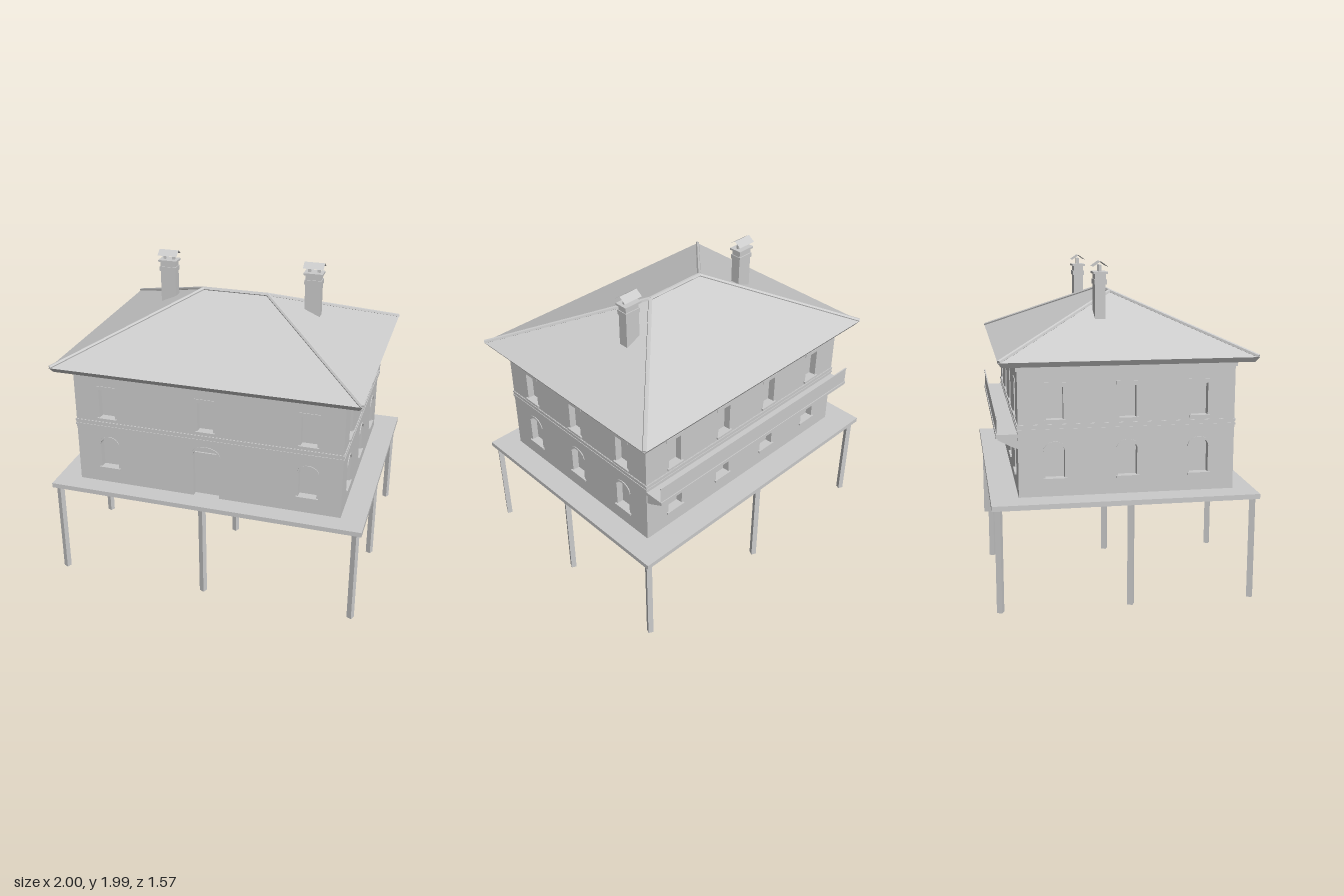
import * as THREE from 'three';

const MAT = new THREE.MeshStandardMaterial({ color: 0xcccccc, flatShading: true });
const SHEET = new THREE.MeshStandardMaterial({ color: 0xcccccc, flatShading: true, side: THREE.DoubleSide });
const CZ = 0.02;             // the house sits slightly forward on its platform
const HX = 0.85, HZ = 0.64;  // half sizes of the house
const RECESS = 0.045;        // wall thickness in front of the panes

function add(parent, name, geometry, x = 0, y = 0, z = 0, material = MAT) {
  const mesh = new THREE.Mesh(geometry, material);
  mesh.name = name;
  mesh.position.set(x, y, z);
  parent.add(mesh);
  return mesh;
}

// Box given by its bottom and top heights
function slab(parent, name, w, y0, y1, d, x = 0, z = 0) {
  return add(parent, name, new THREE.BoxGeometry(w, y1 - y0, d), x, (y0 + y1) / 2, z);
}

// Round bar between two points
function bar(parent, name, a, b, r) {
  const mesh = add(parent, name, new THREE.CylinderGeometry(r, r, a.distanceTo(b), 6));
  mesh.position.copy(a).lerp(b, 0.5);
  mesh.quaternion.setFromUnitVectors(new THREE.Vector3(0, 1, 0), b.clone().sub(a).normalize());
}

// Opening outline: rectangle topped by a flat arch (rise 0 = square head)
function openingPath({ x, w, y0, y1, rise }) {
  const p = new THREE.Path(), s = y1 - rise;
  p.moveTo(x - w / 2, y0);
  p.lineTo(x + w / 2, y0);
  p.lineTo(x + w / 2, s);
  if (rise) p.absellipse(x, s, w / 2, rise, 0, Math.PI, false);
  else p.lineTo(x - w / 2, s);
  p.lineTo(x - w / 2, y0);
  return p;
}

// Thin moulding following the arch of an opening
function archTrim(parent, { x, w, y1, rise }) {
  const s = y1 - rise, band = 0.012;
  const shape = new THREE.Shape();
  shape.moveTo(x + w / 2 + band, s);
  shape.absellipse(x, s, w / 2 + band, rise + band, 0, Math.PI, false);
  shape.lineTo(x - w / 2, s);
  shape.absellipse(x, s, w / 2, rise, Math.PI, 0, true);
  add(parent, 'archTrim', new THREE.ExtrudeGeometry(shape, { depth: 0.005, bevelEnabled: false, curveSegments: 10 }));
}

const upperWindow = x => ({ x, w: 0.1, y0: 1.105, y1: 1.295, rise: 0, sill: true });
const lowerWindow = x => ({ x, w: 0.113, y0: 0.757, y1: 0.965, rise: 0.045, sill: true });
const frontDoor = { x: 0, w: 0.165, y0: 0.65, y1: 0.99, rise: 0.05 };

// Wall with its outer face on local z = 0, pierced by openings
function wall(parent, name, half, openings) {
  const group = new THREE.Group();
  group.name = name;
  const shape = new THREE.Shape();
  shape.moveTo(-half, 0.64);
  shape.lineTo(half, 0.64);
  shape.lineTo(half, 1.4);
  shape.lineTo(-half, 1.4);
  shape.closePath();
  shape.holes = openings.map(openingPath);
  add(group, 'wallPanel', new THREE.ExtrudeGeometry(shape, { depth: RECESS, bevelEnabled: false, curveSegments: 10 }), 0, 0, -RECESS);
  for (const o of openings) {
    if (o.rise) archTrim(group, o);
    else slab(group, 'lintel', 0.135, o.y1 + 0.005, o.y1 + 0.027, 0.006, o.x, 0.001);
    if (o.sill) slab(group, 'windowSill', o.w + 0.026, o.y0 - 0.012, o.y0 + 0.002, 0.03, o.x, -0.003);
  }
  parent.add(group);
  return group;
}

// Hipped roof: soffit, eave and ridge outlines joined by quads
function roofGeometry() {
  const ring = (hx, hz, y) => [[-hx, y, hz], [hx, y, hz], [hx, y, -hz], [-hx, y, -hz]];
  const rings = [ring(0.935, 0.73, 1.425), ring(0.955, 0.75, 1.455), ring(0.21, 0, 1.785)];
  const pos = [];
  const quad = (a, b, c, d) => pos.push(...a, ...b, ...c, ...a, ...c, ...d);
  for (let k = 0; k < 2; k++) {
    for (let i = 0; i < 4; i++) {
      const j = (i + 1) % 4, lo = rings[k], hi = rings[k + 1];
      if (k === 1 && i % 2) pos.push(...lo[i], ...lo[j], ...hi[i]); // hip end
      else quad(lo[i], lo[j], hi[j], hi[i]);
    }
  }
  quad(...rings[0].slice().reverse());
  const g = new THREE.BufferGeometry();
  g.setAttribute('position', new THREE.Float32BufferAttribute(pos, 3));
  g.computeVertexNormals();
  return g;
}

function chimney() {
  const g = new THREE.Group();
  g.name = 'chimney';
  slab(g, 'shaft', 0.1, 1.63, 1.915, 0.064);
  slab(g, 'collar', 0.11, 1.85, 1.88, 0.076);
  slab(g, 'capSlab', 0.122, 1.912, 1.925, 0.086);
  for (const x of [-0.03, 0.03]) slab(g, 'capPost', 0.018, 1.925, 1.965, 0.014, x);
  // tent-shaped sheet over the flue
  for (const s of [-1, 1]) {
    const sheet = add(g, 'rainCap', new THREE.PlaneGeometry(0.13, 0.055), 0, 1.971, s * 0.0225, SHEET);
    sheet.rotation.x = -Math.PI / 2 + s * 0.61;
  }
  return g;
}

export function createModel() {
  const model = new THREE.Group();
  model.name = 'stiltHouse';

  // Platform and its nine posts
  slab(model, 'platform', 2, 0.62, 0.65, 1.57);
  for (const x of [-0.96, 0, 0.96])
    for (const z of [0.75, CZ, -0.745])
      slab(model, 'post', 0.033, 0, 0.63, 0.033, x, z).rotation.y = -0.44;

  // House body
  const house = new THREE.Group();
  house.name = 'house';
  house.position.z = CZ;
  model.add(house);
  slab(house, 'windowPanes', 2 * (HX - RECESS), 0.64, 1.4, 2 * (HZ - RECESS));
  slab(house, 'doorPanel', 0.165, 0.65, 0.94, 0.02, 0, HZ - RECESS);

  const both = xs => xs.flatMap(x => [upperWindow(x), lowerWindow(x)]);
  wall(house, 'frontWall', HX, [...both([-0.64, 0.64]), upperWindow(0), frontDoor]).position.z = HZ;
  const back = wall(house, 'backWall', HX, both([-0.62, -0.205, 0.205, 0.62]));
  back.position.z = -HZ;
  back.rotation.y = Math.PI;
  for (const s of [-1, 1]) {
    const side = wall(house, s > 0 ? 'leftWall' : 'rightWall', HZ - RECESS, both([-0.427, 0, 0.427]));
    side.position.x = s * HX;
    side.rotation.y = s * Math.PI / 2;
  }

  // Belt course and frieze
  slab(house, 'beltCourse', 2 * HX + 0.005, 1.025, 1.08, 2 * HZ + 0.005);
  for (const y of [1.04, 1.066]) slab(house, 'beltMoulding', 2 * HX + 0.012, y, y + 0.012, 2 * HZ + 0.012);
  slab(house, 'frieze', 2 * HX + 0.02, 1.39, 1.43, 2 * HZ + 0.02);

  // Roof with ridge and hip caps
  add(house, 'roof', roofGeometry());
  const ridge = s => new THREE.Vector3(s * 0.21, 1.786, 0);
  bar(house, 'ridgeCap', ridge(-1), ridge(1), 0.013);
  for (const s of [-1, 1])
    for (const t of [-1, 1])
      bar(house, 'hipCap', ridge(s), new THREE.Vector3(s * 0.95, 1.458, t * 0.745), 0.013);

  // Chimneys
  for (const s of [-1, 1]) {
    const c = chimney();
    c.position.set(s * 0.48, 0, -0.09);
    model.add(c);
  }

  // Rear balcony: floor, thin parapet and three brackets
  slab(model, 'balconyFloor', 1.7, 1.005, 1.027, 0.13, 0, -0.68);
  add(model, 'balconyParapet', new THREE.PlaneGeometry(1.7, 0.11), 0, 1.077, -0.74, SHEET);
  slab(model, 'balconyRail', 1.7, 1.127, 1.135, 0.008, 0, -0.74);
  const bracket = new THREE.Shape([[0.61, 1.006], [0.61, 0.935], [0.65, 0.95], [0.735, 0.995], [0.735, 1.006]]
    .map(([u, v]) => new THREE.Vector2(u, v)));
  const bracketGeo = new THREE.ExtrudeGeometry(bracket, { depth: 0.025, bevelEnabled: false });
  for (const x of [-0.83, 0, 0.83])
    add(model, 'balconyBracket', bracketGeo, x - 0.0125, 0, 0).rotation.y = Math.PI / 2;

  return model;
}
